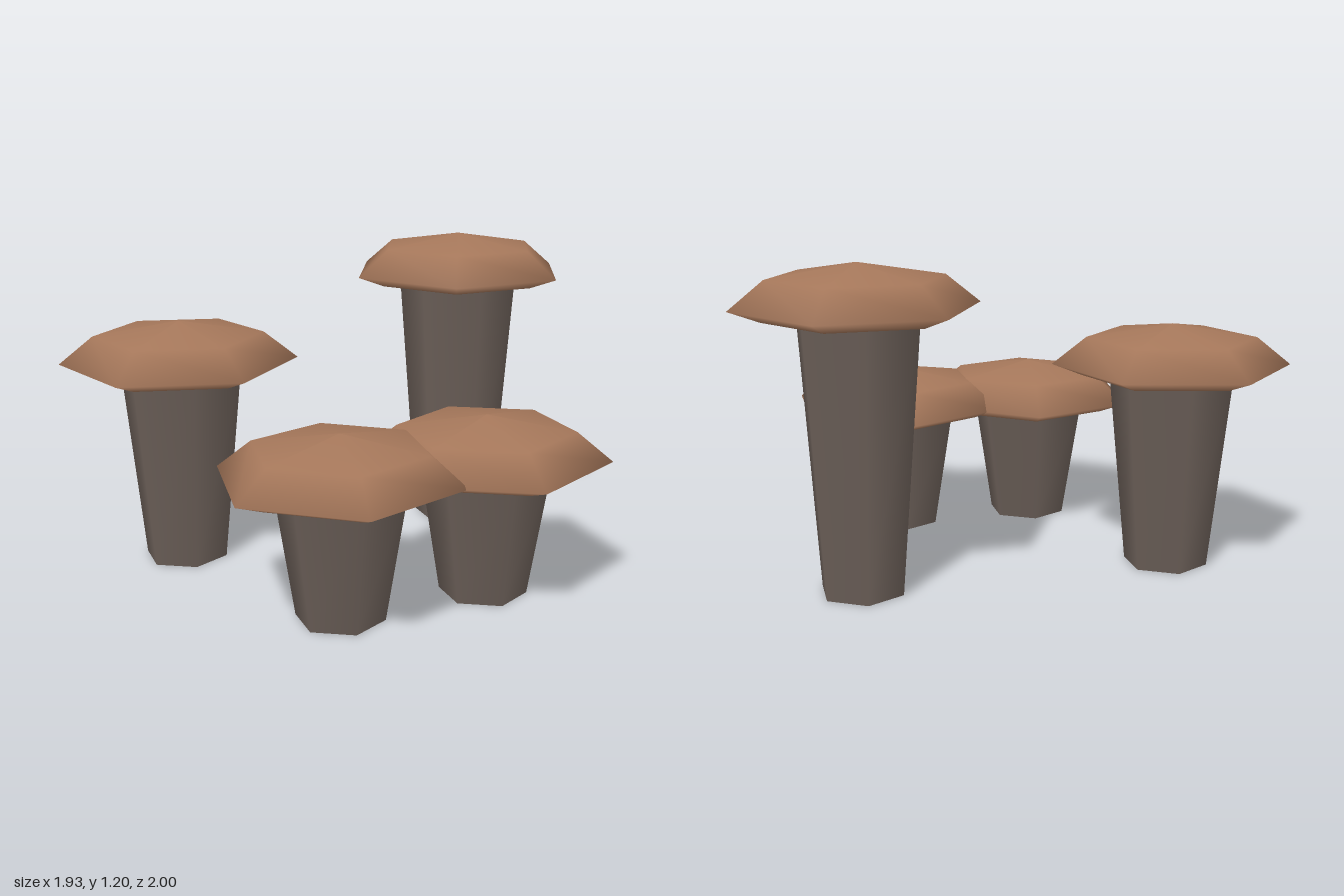
import * as THREE from 'three';

const capMaterial = new THREE.MeshStandardMaterial({ color: 0xa5775a });
capMaterial.name = 'warm brown cap';
const stemMaterial = new THREE.MeshStandardMaterial({ color: 0x6b5f58 });
stemMaterial.name = 'grey brown stem';

// Cap profile from the underside centre, round the rim, up to the peak
const capProfile = [[0, 0], [0.335, 0], [0.448, 0.042], [0.32, 0.145], [0, 0.197]]
  .map(([r, y]) => new THREE.Vector2(r, y));

// Position on the ground, stem height and turn of the cap in degrees
const mushrooms = [
  { name: 'tallMushroom', x: 0, z: -0.595, height: 1.0, turn: 34.5 },
  { name: 'leftoverMushroom', x: -0.53, z: 0.47, height: 0.735, turn: 17.2 },
  { name: 'sideMushroom', x: 0.58, z: 0.045, height: 0.47, turn: 0 },
  { name: 'frontMushroom', x: 0.328, z: 0.555, height: 0.47, turn: 52.3 },
];
mushrooms[1].name = 'mediumMushroom';

function makeMushroom({ name, x, z, height, turn }, capGeometry) {
  const mushroom = new THREE.Group();
  mushroom.name = name;
  mushroom.position.set(x, 0, z);

  // Six-sided stem, narrower at the foot
  const stem = new THREE.Mesh(new THREE.CylinderGeometry(0.235, 0.16, height, 6), stemMaterial);
  stem.name = 'stem';
  stem.position.y = height / 2;

  // Six-sided cap resting on the stem
  const cap = new THREE.Mesh(capGeometry, capMaterial);
  cap.name = 'cap';
  cap.position.y = height;
  cap.rotation.y = THREE.MathUtils.degToRad(turn);

  mushroom.add(stem, cap);
  return mushroom;
}

export function createModel() {
  const group = new THREE.Group();
  group.name = 'mushroomCluster';
  const capGeometry = new THREE.LatheGeometry(capProfile, 6);
  for (const spec of mushrooms) group.add(makeMushroom(spec, capGeometry));
  return group;
}
